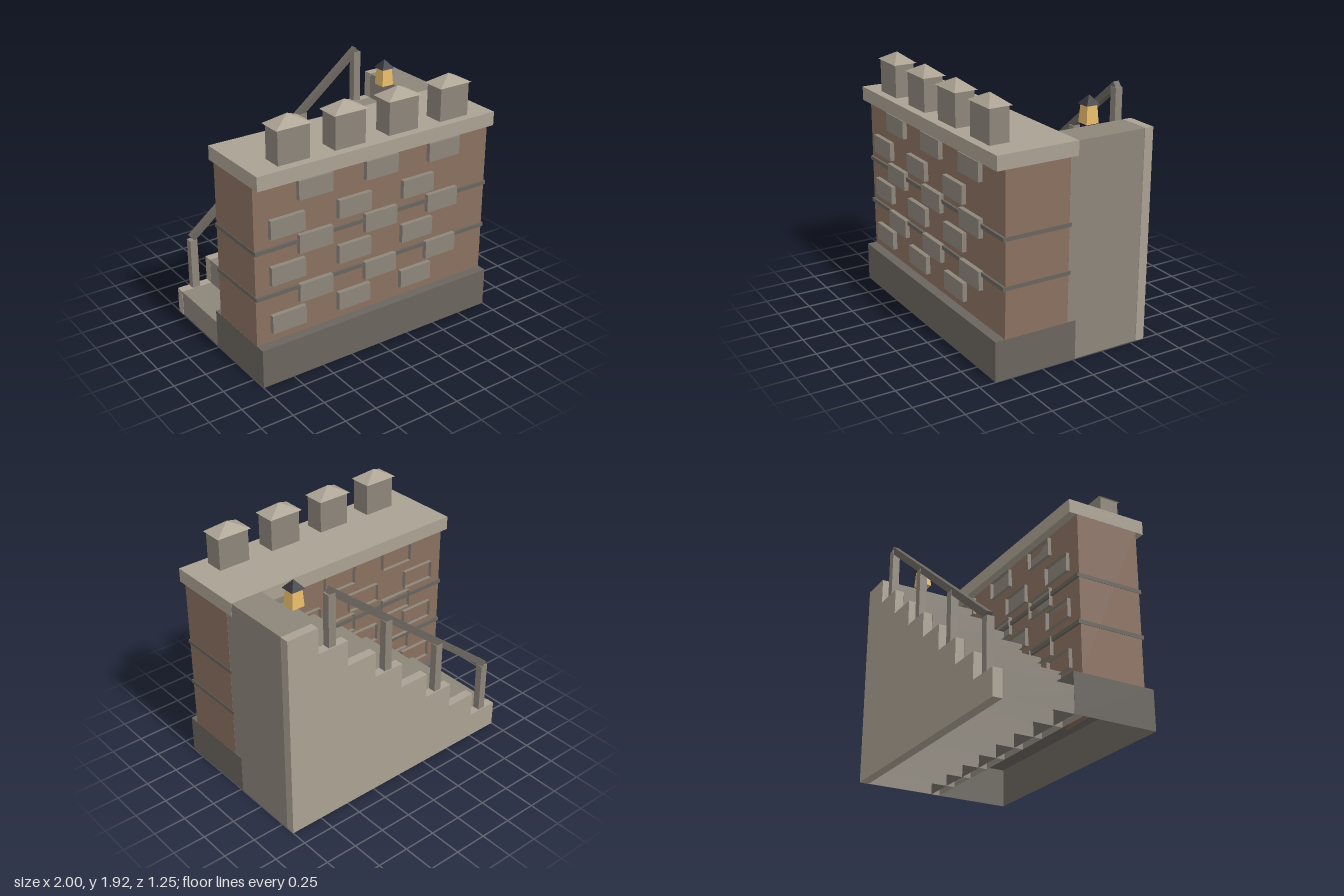
import * as THREE from 'three';

const mat = (color) => new THREE.MeshStandardMaterial({ color, flatShading: true, side: THREE.DoubleSide });

const brick = mat(0x8a7060), stone = mat(0x8c857a), dark = mat(0x6a655e);
const pale = mat(0xaaa192), glow = mat(0xe8bb6a), iron = mat(0x33343a);

// order of the faces in a box geometry
const SIDES = { left: 0, right: 1, top: 2, bottom: 3, front: 4, back: 5 };

export function createModel() {
  const model = new THREE.Group();

  function add(name, geometry, material, parent = model) {
    const mesh = new THREE.Mesh(geometry, material);
    mesh.name = name;
    parent.add(mesh);
    return mesh;
  }

  // box from min/max ranges, optionally with one side left open
  function box(name, [x0, x1], [y0, y1], [z0, z1], material, parent, open) {
    const g = new THREE.BoxGeometry(x1 - x0, y1 - y0, z1 - z0);
    if (open) {
      const index = Array.from(g.index.array);
      index.splice(SIDES[open] * 6, 6);
      g.setIndex(index);
      g.clearGroups();
    }
    g.translate((x0 + x1) / 2, (y0 + y1) / 2, (z0 + z1) / 2);
    return add(name, g, material, parent);
  }

  // four-sided prism or pyramid with a rectangular foot
  function taper(name, topRatio, w, h, d, x, y, z, material, parent) {
    const g = new THREE.CylinderGeometry(Math.SQRT1_2 * topRatio, Math.SQRT1_2, 1, 4, 1);
    g.rotateY(Math.PI / 4).scale(w, h, d).translate(x, y + h / 2, z);
    return add(name, g, material, parent);
  }

  function group(name) {
    const g = new THREE.Group();
    g.name = name;
    model.add(g);
    return g;
  }

  // wall, hollow plinth and coping
  box('plinth', [-1, 1], [0, 0.3], [-0.02, 0.625], dark, model, 'bottom');
  box('wall', [-0.999, 0.999], [0.3, 1.5], [0.05, 0.55], brick);
  box('coping', [-1, 1], [1.495, 1.6], [-0.013, 0.615], pale);

  // belt courses running around the wall
  for (const y of [0.67, 1.02]) {
    box('beltCourse', [-1.002, 1.002], [y - 0.015, y + 0.015], [0.034, 0.568], dark);
  }

  // projecting stones on both faces, alternate rows shifted
  const stones = group('wallStones');
  [0.445, 0.62, 0.82, 1.0, 1.17, 1.4].forEach((y, row) => {
    for (let i = -1; i <= 1; i++) {
      const x = i * 0.55 + (row % 2 ? 0.025 : -0.2);
      const xs = [x - 0.137, x + 0.137], ys = [y - 0.07, y + 0.07];
      box('frontStone', xs, ys, [0.54, 0.585], stone, stones);
      box('backStone', xs, ys, [0.022, 0.05], stone, stones, 'back');
    }
  });

  // battlements with pyramid caps
  const battlements = group('battlements');
  for (const x of [-0.675, -0.225, 0.225, 0.675]) {
    box('merlon', [x - 0.125, x + 0.125], [1.6, 1.85], [0.4, 0.55], stone, battlements);
    taper('merlonCap', 0, 0.28, 0.07, 0.18, x, 1.85, 0.472, pale, battlements);
  }

  // staircase of open-bottomed blocks climbing towards +x
  const steps = 8, run = 0.25, rise = 0.2;
  const stairs = group('stairs');
  for (let i = 0; i < steps; i++) {
    const x = -1 + i * run;
    box('step', [Math.max(x, -0.998), Math.min(x + run, 0.998)], [0.001, (i + 1) * rise - 0.001],
      [-0.55, 0.049], stone, stairs, 'bottom');
  }

  // stepped side wall of the stairs
  const profile = new THREE.Shape();
  profile.moveTo(-1, 0);
  for (let i = 0; i < steps; i++) {
    profile.lineTo(-1 + i * run, (i + 1) * rise);
    profile.lineTo(-1 + (i + 1) * run, (i + 1) * rise);
  }
  profile.lineTo(1, 0);
  const side = new THREE.ExtrudeGeometry(profile, { depth: 0.07, bevelEnabled: false });
  add('stairSideWall', side.translate(0, 0, -0.622), pale, stairs);

  // handrail on four posts, one on every other step
  const railing = group('railing');
  for (let i = 0; i < steps; i += 2) {
    const x = -0.875 + i * run, y = (i + 1) * rise;
    box('railPost', [x - 0.03, x + 0.03], [y, y + 0.4], [-0.612, -0.555], stone, railing);
  }
  const slope = Math.atan2(rise, run);
  const rail = add('handrail', new THREE.BoxGeometry(1.93, 0.05, 0.048), dark, railing);
  rail.rotation.z = slope;
  rail.position.set(-0.125, 1.215, -0.585);

  // lantern on the top landing
  const lantern = group('lantern');
  taper('lanternGlass', 0.82, 0.1, 0.135, 0.1, 0.695, 1.6, -0.3, glow, lantern);
  taper('lanternRoof', 0, 0.112, 0.067, 0.112, 0.695, 1.733, -0.3, iron, lantern);

  return model;
}
